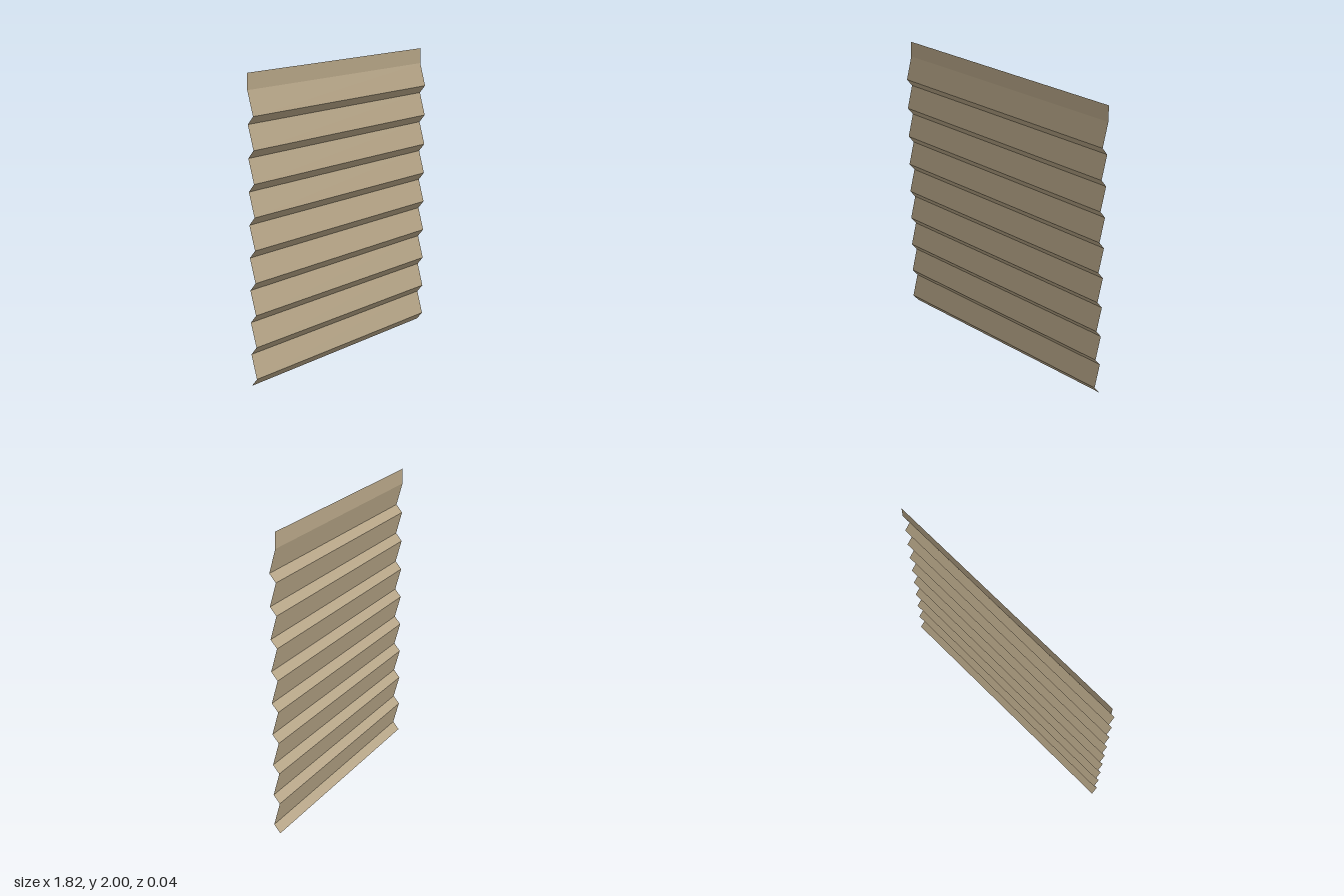
import * as THREE from 'three';

const WIDTH = 1.816;
const BOARDS = 9;
const PITCH = 0.2105; // height of one board
const LIP = 0.053; // height of the underside lip
const DEPTH = 0.022; // half the depth of the folds

// Side profile [y, z] from the bottom up: lip out, long face back in, flat strip on top
function sidingProfile() {
  const points = [[0, -DEPTH]];
  for (let i = 0; i < BOARDS; i++) {
    points.push([i * PITCH + LIP, DEPTH], [(i + 1) * PITCH, -DEPTH]);
  }
  points.push([2, -DEPTH]);
  return points;
}

export function createModel() {
  const group = new THREE.Group();
  group.name = 'sidingPanel';

  // Fold a flat sheet along the profile; its rows run from top to bottom
  const profile = sidingProfile().reverse();
  const sheet = new THREE.PlaneGeometry(WIDTH, 2, 1, profile.length - 1);
  const position = sheet.attributes.position;
  for (let i = 0; i < position.count; i++) {
    const [y, z] = profile[Math.floor(i / 2)];
    position.setY(i, y);
    position.setZ(i, z);
  }
  const geometry = sheet.toNonIndexed();
  geometry.computeVertexNormals();

  const material = new THREE.MeshStandardMaterial({
    color: 0xb3a284,
    flatShading: true,
    side: THREE.DoubleSide,
  });
  const siding = new THREE.Mesh(geometry, material);
  siding.name = 'lapSiding';
  group.add(siding);
  return group;
}
